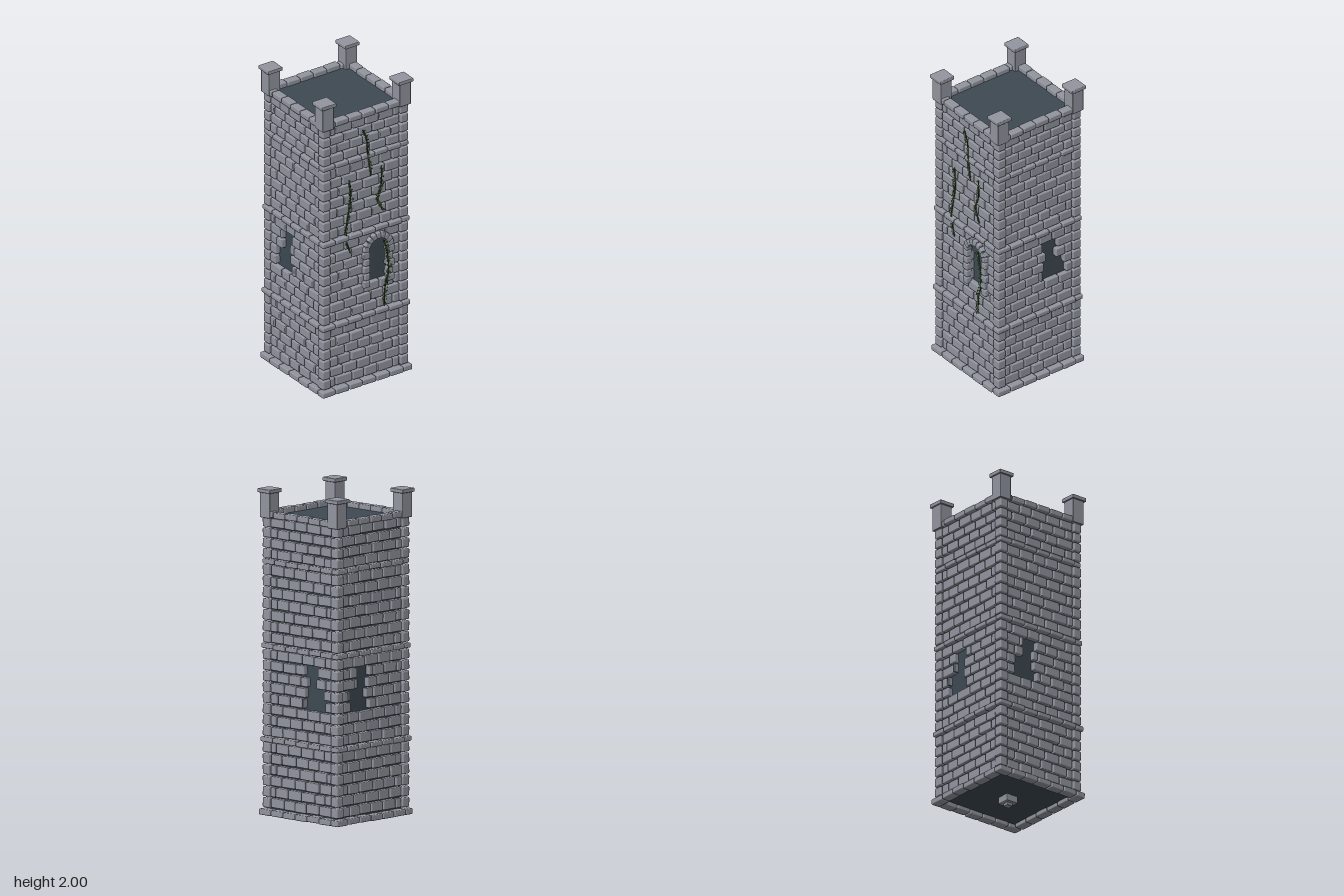
import * as THREE from 'three';
import { mergeGeometries } from 'three/addons/utils/BufferGeometryUtils.js';
import { RoundedBoxGeometry } from 'three/addons/geometries/RoundedBoxGeometry.js';

const mat = (name, color) => new THREE.MeshStandardMaterial({ name, color });

export function createModel() {
  const tower = new THREE.Group();
  tower.name = 'stoneTower';
  const stone = mat('stone grey', 0x92959f);
  const dark = mat('dark mortar', 0x3d4952);
  const leafGreen = mat('leaf green', 0x41662a);
  const stemGreen = mat('stem green', 0x2c4220);
  leafGreen.side = THREE.DoubleSide;

  let seed = 7;
  const rand = () => (seed = (seed * 16807) % 2147483647) / 2147483647;
  const jit = a => (rand() - 0.5) * 2 * a;

  const add = (name, geo, material, parent = tower) => {
    const m = new THREE.Mesh(geo, material);
    m.name = name;
    parent.add(m);
    return m;
  };

  // One worn block, slightly turned
  const block = (x, y, z, w, h, d, wobble = 0.02, r = 0.006) => {
    const g = new RoundedBoxGeometry(w, h, d, 1, Math.min(r, w / 3, h / 3));
    g.rotateZ(jit(wobble));
    g.rotateY(jit(wobble));
    return g.translate(x, y, z);
  };

  // Dark core behind the stones, also the roof deck and the underside
  add('core', new THREE.BoxGeometry(0.545, 1.775, 0.545).translate(0, 0.9475, 0), dark);

  // Opening in each face: the spans of u left free of bricks
  const opening = (side, y) => {
    if (y < 0.7 || y > 0.965) return null;
    if (side === 0) return [0.025, 0.155];
    const step = y > 0.81 ? 0.125 : 0.185;
    const near = y > 0.75 && y < 0.87 ? 0.055 : 0.03;
    return side === 1 ? [near, step] : [-step, -near];
  };

  // Courses of bricks between the string courses
  const sections = [[0.075, 0.475, 6], [0.507, 1.035, 8], [1.07, 1.545, 7], [1.578, 1.83, 4]];
  const GAP = 0.008, EDGE = 0.252;
  const faceNames = ['front', 'right', 'back', 'left'];
  for (let side = 0; side < 4; side++) {
    const bricks = [];
    let row = side;
    for (const [y0, y1, n] of sections) {
      const h = (y1 - y0) / n;
      for (let i = 0; i < n; i++, row++) {
        const y = y0 + (i + 0.5) * h;
        const hole = opening(side, y);
        const cuts = [-EDGE];
        for (let u = -EDGE + (row % 2 ? 0.1 : 0.052); u < EDGE - 0.03; u += 0.1) cuts.push(u + jit(0.012));
        cuts.push(EDGE);
        for (let k = 0; k + 1 < cuts.length; k++) {
          const a = cuts[k], b = cuts[k + 1];
          const spans = hole ? [[a, Math.min(b, hole[0])], [Math.max(a, hole[1]), b]] : [[a, b]];
          for (const [p, q] of spans) {
            if (q - p < 0.02) continue;
            bricks.push(block((p + q) / 2, y + jit(0.002), 0.277 + jit(0.003), q - p - GAP, h - GAP - rand() * 0.003, 0.05));
          }
        }
      }
    }
    add(faceNames[side] + 'Bricks', mergeGeometries(bricks).rotateY(side * Math.PI / 2), stone);
  }

  // Corner stones
  const quoins = [];
  let qr = 0;
  for (const [y0, y1, n] of sections) {
    const h = (y1 - y0) / n;
    for (let i = 0; i < n; i++, qr++) {
      for (const sx of [-1, 1]) for (const sz of [-1, 1]) {
        const lx = 0.057 + jit(0.003), lz = 0.057 + jit(0.003);
        quoins.push(block(sx * (0.31 - lx / 2), y0 + (i + 0.5) * h, sz * (0.31 - lz / 2), lx, h - 0.007, lz, 0.03, 0.008));
      }
    }
  }
  add('cornerStones', mergeGeometries(quoins), stone);

  // Rings of blocks: plinth, string courses and parapet
  const ring = (name, y, h, half, depth, count) => {
    const parts = [];
    const len = (2 * half - depth) / count;
    for (let side = 0; side < 4; side++) {
      for (let k = 0; k < count; k++) {
        const u = -half + (k + 0.5) * len;
        const g = block(u, y + jit(0.002), half - depth / 2 + jit(0.003), len - 0.005, h, depth, 0.012, 0.007);
        parts.push(g.rotateY(side * Math.PI / 2));
      }
    }
    add(name, mergeGeometries(parts), stone);
  };
  ring('plinth', 0.052, 0.036, 0.326, 0.06, 6);
  ring('lowerStringCourse', 0.491, 0.03, 0.321, 0.055, 6);
  ring('middleStringCourse', 1.052, 0.03, 0.316, 0.05, 6);
  ring('upperStringCourse', 1.561, 0.03, 0.311, 0.05, 6);
  ring('parapet', 1.847, 0.036, 0.316, 0.054, 6);

  // Corner posts with caps
  for (const sx of [-1, 1]) for (const sz of [-1, 1]) {
    const post = new THREE.Group();
    post.name = 'cornerPost';
    post.position.set(sx * 0.279, 0, sz * 0.279);
    add('postShaft', new RoundedBoxGeometry(0.082, 0.155, 0.082, 1, 0.004).translate(0, 1.902, 0), stone, post);
    add('postCap', new RoundedBoxGeometry(0.105, 0.024, 0.105, 1, 0.005).translate(0, 1.988, 0), stone, post);
    tower.add(post);
  }

  // Stepped foot under the middle
  add('footPlate', new RoundedBoxGeometry(0.085, 0.045, 0.085, 1, 0.005).translate(0, 0.04, 0), stone);
  add('footPeg', new RoundedBoxGeometry(0.042, 0.03, 0.042, 1, 0.004).translate(0, 0.015, 0), stone);

  // Window surround: jambs and arch stones
  const surround = [];
  const CX = 0.088, SPRING = 0.92;
  for (let i = 0; i < 5; i++) {
    const y = 0.705 + i * 0.048, wide = i % 2 ? 0.036 : 0.045;
    surround.push(block(CX - 0.066 - wide / 2, y, 0.305, wide, 0.043, 0.04));
    surround.push(block(CX + 0.066 + wide / 2, y, 0.305, wide, 0.043, 0.04));
  }
  for (let i = 0; i < 9; i++) {
    const g = block(0, 0.089, 0.305, 0.031, 0.04, 0.04);
    g.rotateZ(((i + 0.5) / 9 - 0.5) * Math.PI);
    surround.push(g.translate(CX, SPRING, 0));
  }
  add('windowSurround', mergeGeometries(surround), stone);

  // Climbing vines: a stem with small leaves scattered along it
  const vine = (points, z, spread, perUnit) => {
    const curve = new THREE.CatmullRomCurve3(points.map(([x, y]) => new THREE.Vector3(x, y, z)));
    const group = new THREE.Group();
    group.name = 'vine';
    add('vineStem', new THREE.TubeGeometry(curve, 24, 0.004, 5), stemGreen, group);
    const leaves = [];
    const n = Math.round(curve.getLength() * perUnit);
    for (let i = 0; i < n; i++) {
      const p = curve.getPoint((i + rand()) / n);
      const g = new THREE.CircleGeometry(0.0065 + rand() * 0.003, 4);
      g.scale(0.7, 1, 1).rotateX(jit(0.7)).rotateY(jit(0.7)).rotateZ(jit(3));
      leaves.push(g.translate(p.x + jit(spread), p.y, p.z + 0.003 + rand() * 0.004));
    }
    add('vineLeaves', mergeGeometries(leaves), leafGreen, group);
    tower.add(group);
  };
  vine([[-0.022, 1.75], [0.005, 1.68], [0.013, 1.58], [0.025, 1.5], [0.036, 1.43]], 0.309, 0.01, 130);
  vine([[-0.12, 1.44], [-0.112, 1.3], [-0.13, 1.2], [-0.152, 1.08]], 0.309, 0.012, 150);
  vine([[-0.142, 1.03], [-0.13, 0.99], [-0.115, 0.95]], 0.312, 0.01, 130);
  vine([[0.113, 1.47], [0.11, 1.34], [0.085, 1.26], [0.12, 1.17]], 0.309, 0.011, 150);
  vine([[0.125, 0.97], [0.145, 0.88], [0.156, 0.75], [0.13, 0.65], [0.125, 0.53]], 0.322, 0.015, 190);

  return tower;
}
